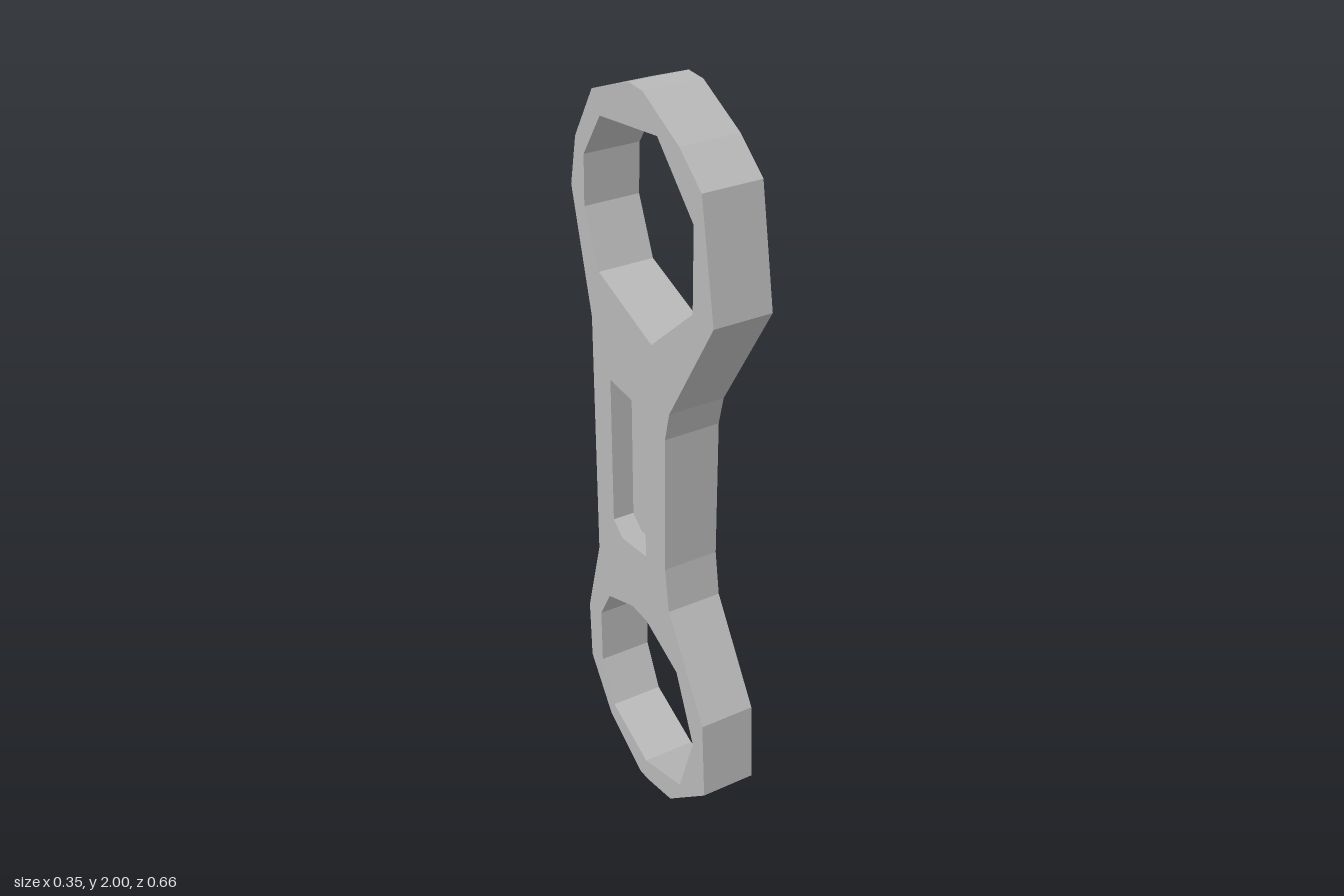
import * as THREE from 'three';

const THICK = 0.144;

// Profiles as [across, height]; "across" runs along the plate's width
const outline = [
  [0.03, 2], [0.18, 1.935], [0.27, 1.87], [0.325, 1.59], [0.141, 1.28], [0.122, 1.2],
  [0.122, 0.82], [0.141, 0.7], [0.31, 0.45], [0.325, 0.22], [0.15, 0.045], [0.02, 0.005],
  [-0.02, 0], [-0.19, 0.08], [-0.3, 0.22], [-0.305, 0.4], [-0.234, 0.65], [-0.234, 1.35],
  [-0.32, 1.66], [-0.29, 1.79], [-0.2, 1.93], [-0.03, 2],
];
const upperHole = [
  [0.24, 1.79], [0.09, 1.925], [-0.165, 1.88], [-0.25, 1.76],
  [-0.255, 1.63], [-0.19, 1.49], [0.06, 1.42], [0.24, 1.585],
];
const lowerHole = [
  [0.025, 0.585], [0.18, 0.53], [0.265, 0.35], [0.2, 0.145], [0.015, 0.07],
  [-0.17, 0.13], [-0.235, 0.25], [-0.235, 0.42], [-0.18, 0.52], [-0.05, 0.58],
];
const pocket = [
  [0.025, 1.22], [-0.145, 1.22], [-0.145, 0.8], [-0.1, 0.77], [0.025, 0.795],
];

const points = (list) => list.map(([u, y]) => new THREE.Vector2(-u, y));

// Extrude a shape centred on the plate's middle plane
function plate(shape, depth, material, name) {
  const geo = new THREE.ExtrudeGeometry(shape, { depth, bevelEnabled: false });
  geo.translate(0, 0, -depth / 2);
  const mesh = new THREE.Mesh(geo, material);
  mesh.name = name;
  return mesh;
}

export function createModel() {
  const metal = new THREE.MeshStandardMaterial({ color: 0xb8b8b8, flatShading: true });
  metal.name = 'grey metal';

  // Link body with a ring at each end and a cut-out in the shank
  const body = new THREE.Shape(points(outline));
  for (const hole of [upperHole, lowerHole, pocket]) body.holes.push(new THREE.Path(points(hole)));

  const link = new THREE.Group();
  link.name = 'link';
  link.add(plate(body, THICK, metal, 'linkBody'));
  // Thin web closing the cut-out, leaving a pocket on both faces
  link.add(plate(new THREE.Shape(points(pocket)), 0.03, metal, 'pocketWeb'));
  link.rotation.y = Math.PI / 2 + 0.332;

  const model = new THREE.Group();
  model.name = 'connectingLink';
  model.add(link);
  return model;
}
